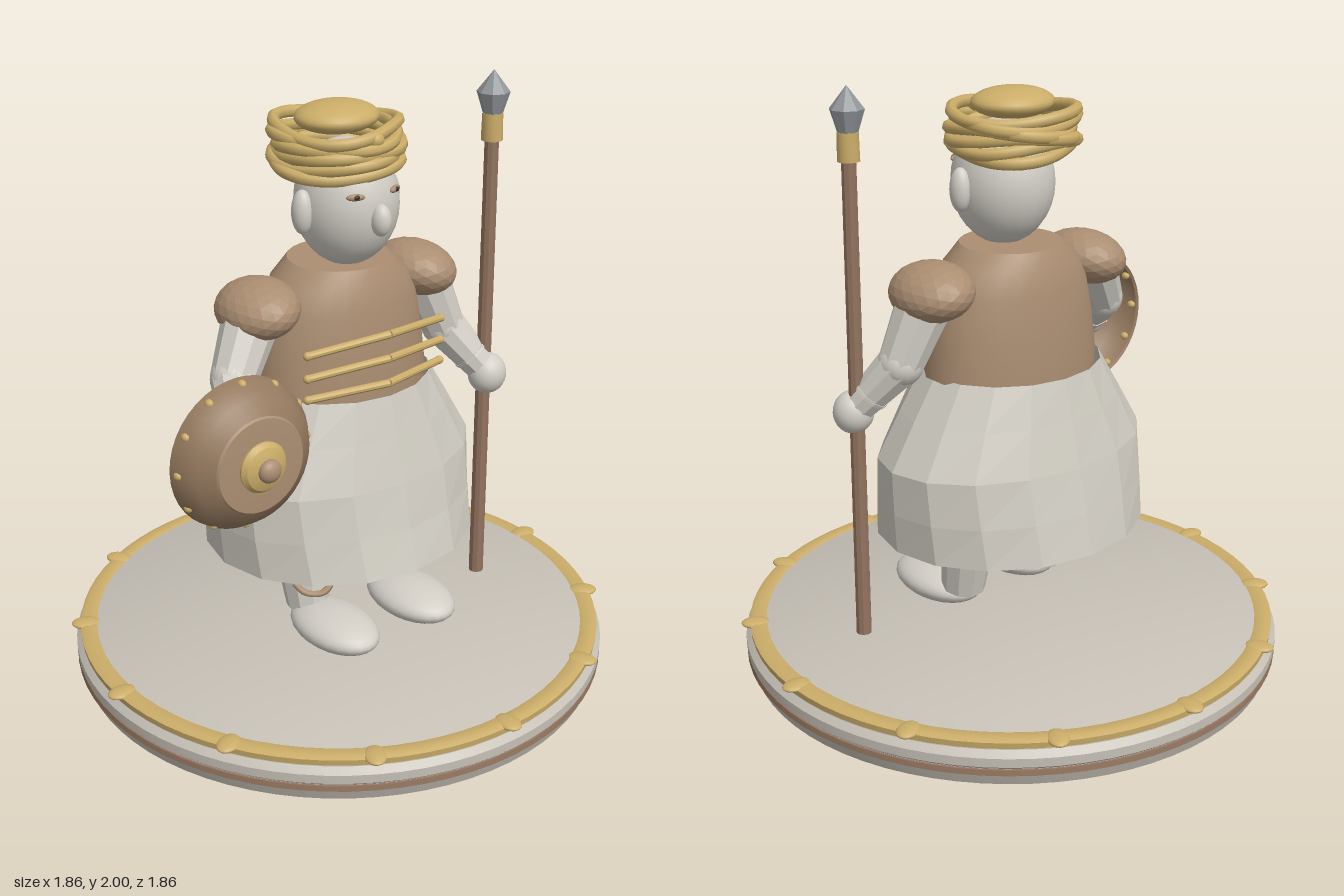
import * as THREE from 'three';
import { toCreasedNormals } from 'three/addons/utils/BufferGeometryUtils.js';

const V = (x, y, z) => new THREE.Vector3(x, y, z);

export function createModel() {
  const model = new THREE.Group();
  model.name = 'guardFigure';

  const mat = (name, color, side = THREE.FrontSide) =>
    Object.assign(new THREE.MeshStandardMaterial({ color, side }), { name });
  const stone = mat('stone', 0xc6c0b6);
  const skin = mat('skin', 0xd2cec6);
  const cloth = mat('cloth', 0xcfcbc1, THREE.DoubleSide);
  const leather = mat('leather', 0xab8e72);
  const shieldBrown = mat('shieldBrown', 0x957a5f, THREE.DoubleSide);
  const gold = mat('gold', 0xcbad69);
  const wood = mat('wood', 0x92745e);
  const steel = mat('steel', 0x93979a);
  const dark = mat('dark', 0x3a3029);

  function add(name, geometry, material, parent = model) {
    const mesh = new THREE.Mesh(geometry, material);
    mesh.name = name;
    parent.add(mesh);
    return mesh;
  }
  function flat(geometry) {
    const g = geometry.index ? geometry.toNonIndexed() : geometry;
    g.computeVertexNormals();
    return g;
  }
  function ellipsoid(name, p, r, material, parent = model, geo = new THREE.SphereGeometry(1, 24, 16)) {
    const m = add(name, geo, material, parent);
    m.position.set(...p);
    m.scale.set(...r);
    return m;
  }
  // Tapered limb between two points
  function limb(name, a, b, ra, rb, material, parent = model, sides = 10) {
    const dir = b.clone().sub(a);
    const m = add(name, flat(new THREE.CylinderGeometry(rb, ra, dir.length(), sides)), material, parent);
    m.position.copy(a).add(b).multiplyScalar(0.5);
    m.quaternion.setFromUnitVectors(V(0, 1, 0), dir.normalize());
    return m;
  }
  const lathe = (pts, sides = 64) =>
    toCreasedNormals(new THREE.LatheGeometry(pts.map(p => new THREE.Vector2(...p)), sides), 0.5);
  // Elliptical rings [y, rx, rz, cz], listed from the bottom up
  function loft(rings, sides, capped) {
    const pos = [], idx = [];
    for (const [y, rx, rz, cz = 0] of rings)
      for (let i = 0; i < sides; i++) {
        const a = i / sides * Math.PI * 2;
        pos.push(Math.sin(a) * rx, y, Math.cos(a) * rz + cz);
      }
    for (let r = 0; r < rings.length - 1; r++)
      for (let i = 0; i < sides; i++) {
        const a = r * sides + i, b = r * sides + (i + 1) % sides;
        idx.push(a, b, b + sides, a, b + sides, a + sides);
      }
    if (capped) {
      const top = (rings.length - 1) * sides;
      for (let i = 1; i < sides - 1; i++) idx.push(top, top + i, top + i + 1);
    }
    const g = new THREE.BufferGeometry();
    g.setAttribute('position', new THREE.Float32BufferAttribute(pos, 3));
    g.setIndex(idx);
    return g;
  }

  // Round plinth with coloured bands and a studded gold rim
  const plinth = new THREE.Group();
  plinth.name = 'plinth';
  model.add(plinth);
  add('plinthBody', lathe([[0, 0], [0.895, 0], [0.91, 0.04], [0.905, 0.06], [0.915, 0.07], [0.915, 0.1],
    [0.895, 0.12], [0.89, 0.145], [0.845, 0.148], [0.81, 0.165], [0, 0.165]], 72), stone, plinth);
  add('plinthBand', lathe([[0.9, 0.038], [0.914, 0.04], [0.911, 0.058], [0.9, 0.06]], 72), wood, plinth);
  add('goldRim', lathe([[0.88, 0.122], [0.898, 0.125], [0.9, 0.145], [0.885, 0.152], [0.85, 0.152], [0.838, 0.146]], 72), gold, plinth);
  for (let i = 0; i < 12; i++) {
    const a = i * Math.PI / 6;
    const stud = ellipsoid('rimStud', [Math.sin(a) * 0.88, 0.145, Math.cos(a) * 0.88], [0.036, 0.014, 0.05], gold, plinth);
    stud.rotation.y = a;
  }

  // Legs, feet and ankle trims
  for (const s of [-1, 1]) {
    const leg = new THREE.Group();
    leg.name = s > 0 ? 'leftLeg' : 'rightLeg';
    model.add(leg);
    limb('thigh', V(s * 0.17, 0.9, 0), V(s * 0.175, 0.52, 0), 0.12, 0.1, skin, leg);
    limb('shin', V(s * 0.175, 0.54, 0), V(s * 0.168, 0.25, 0.05), 0.1, 0.075, skin, leg);
    ellipsoid('foot', [s * 0.165, 0.226, 0.195], [0.122, 0.062, 0.19], skin, leg);
    const trim = new THREE.CatmullRomCurve3([[-0.072, 0.355, 0.07], [-0.055, 0.33, 0.105], [0, 0.318, 0.128],
      [0.055, 0.33, 0.105], [0.072, 0.355, 0.07]].map(([x, y, z]) => V(x + s * 0.168, y, z)));
    add('ankleTrim', new THREE.TubeGeometry(trim, 16, 0.012, 6), leather, leg);
  }

  // Faceted flared skirt
  add('skirt', flat(loft([[0.485, 0.474, 0.42, 0.005], [0.62, 0.485, 0.385], [0.77, 0.49, 0.35],
    [0.92, 0.4, 0.31], [1.055, 0.315, 0.275]], 16)), cloth);

  // Tunic with three bent gold bars
  add('tunic', toCreasedNormals(loft([[1.0, 0.32, 0.22], [1.06, 0.32, 0.22], [1.2, 0.3, 0.215],
    [1.32, 0.275, 0.205], [1.4, 0.235, 0.19], [1.455, 0.17, 0.165]], 28, true), 0.6), leather);
  for (const [y, drop] of [[1.262, 0.03], [1.18, 0.025], [1.095, 0.012]])
    for (const s of [-1, 1]) {
      limb('chestBar', V(0, y, 0.265), V(s * 0.27, y - drop, 0.195), 0.013, 0.013, gold);
      ellipsoid('chestBarEnd', [s * 0.27, y - drop, 0.195], [0.014, 0.014, 0.014], gold);
    }

  // Arms with shoulder pads
  for (const s of [-1, 1]) {
    const arm = new THREE.Group();
    arm.name = s > 0 ? 'leftArm' : 'rightArm';
    model.add(arm);
    const shoulder = V(s * 0.335, 1.34, 0);
    const elbow = s > 0 ? V(0.425, 1.12, 0.03) : V(-0.455, 1.16, 0.06);
    const hand = s > 0 ? V(0.533, 0.95, 0.143) : V(-0.555, 1.02, 0.23);
    limb('upperArm', shoulder, elbow, 0.095, 0.075, skin, arm);
    ellipsoid('elbow', elbow.toArray(), [0.075, 0.075, 0.075], skin, arm);
    limb('forearm', elbow, hand, 0.075, 0.052, skin, arm);
    const cuff = elbow.clone().lerp(hand, 0.6);
    limb('cuff', cuff, cuff.clone().lerp(hand, 0.12), 0.064, 0.064, skin, arm);
    ellipsoid('hand', hand.toArray(), s > 0 ? [0.068, 0.072, 0.065] : [0.06, 0.06, 0.055], skin, arm);
    const pad = ellipsoid('shoulderPad', [s * 0.32, 1.345, 0], [0.128, 0.092, 0.158], leather, arm,
      flat(new THREE.IcosahedronGeometry(1, 3)));
    pad.rotation.z = -s * 0.2;
  }

  // Round hollow shield, built along y and turned to face forward
  const shield = new THREE.Group();
  shield.name = 'shield';
  shield.position.set(-0.565, 1.01, 0.24);
  shield.rotation.x = Math.PI / 2;
  model.add(shield);
  add('shieldBowl', lathe([[0.235, 0.005], [0.245, 0], [0.238, 0.035], [0.205, 0.085], [0.155, 0.118]], 40), shieldBrown, shield);
  add('shieldFace', lathe([[0.157, 0.117], [0.152, 0.124], [0, 0.132]], 40), leather, shield);
  add('shieldBoss', lathe([[0, 0.06], [0.075, 0.085], [0.082, 0.135], [0.07, 0.15], [0.045, 0.16], [0, 0.165]], 28), gold, shield);
  ellipsoid('shieldKnob', [0, 0.165, 0], [0.038, 0.028, 0.038], leather, shield);
  for (let i = 0; i < 12; i++) {
    const a = i * Math.PI / 6;
    ellipsoid('shieldStud', [Math.sin(a) * 0.233, 0.028, Math.cos(a) * 0.233], [0.014, 0.016, 0.014], gold, shield,
      new THREE.SphereGeometry(1, 10, 8));
  }

  // Spear
  const spear = new THREE.Group();
  spear.name = 'spear';
  spear.position.set(0.534, 0, 0.123);
  model.add(spear);
  limb('shaft', V(0, 0.16, 0), V(0, 1.8, 0), 0.026, 0.024, wood, spear, 10);
  add('collar', lathe([[0, 1.77], [0.036, 1.77], [0.034, 1.86], [0, 1.86]], 16), gold, spear);
  add('spearhead', flat(new THREE.LatheGeometry([[0, 1.85], [0.03, 1.85], [0.055, 1.93], [0.001, 2]]
    .map(p => new THREE.Vector2(...p)), 8)), steel, spear);

  // Head and face
  const head = new THREE.Group();
  head.name = 'head';
  model.add(head);
  ellipsoid('skull', [0, 1.645, 0.04], [0.167, 0.205, 0.173], skin, head);
  ellipsoid('nose', [0, 1.625, 0.215], [0.032, 0.052, 0.036], skin, head);
  for (const s of [-1, 1]) {
    ellipsoid('ear', [s * 0.172, 1.64, 0.04], [0.034, 0.072, 0.037], skin, head);
    const eye = ellipsoid('eye', [s * 0.077, 1.705, 0.187], [0.03, 0.011, 0.01], leather, head);
    eye.rotation.y = s * 0.45;
    ellipsoid('pupil', [s * 0.077, 1.706, 0.195], [0.011, 0.008, 0.006], dark, head);
  }

  // Turban of wavy wound coils, a crown pad and a front knot
  const turban = new THREE.Group();
  turban.name = 'turban';
  model.add(turban);
  for (let c = 0; c < 6; c++) {
    const pts = [];
    for (let i = 0; i < 20; i++) {
      const a = i / 20 * Math.PI * 2;
      const r = 0.194 + 0.011 * Math.sin(3 * a + c * 1.9);
      pts.push(V(Math.sin(a) * r, 1.765 + c * 0.023 + 0.013 * Math.sin(2 * a + c * 1.3), Math.cos(a) * r - 0.01));
    }
    add('coil', new THREE.TubeGeometry(new THREE.CatmullRomCurve3(pts, true), 48, 0.02, 7, true), gold, turban);
  }
  ellipsoid('crownPad', [0, 1.907, -0.01], [0.14, 0.049, 0.125], gold, turban);
  ellipsoid('frontKnot', [0, 1.872, 0.185], [0.028, 0.025, 0.025], gold, turban);

  return model;
}
